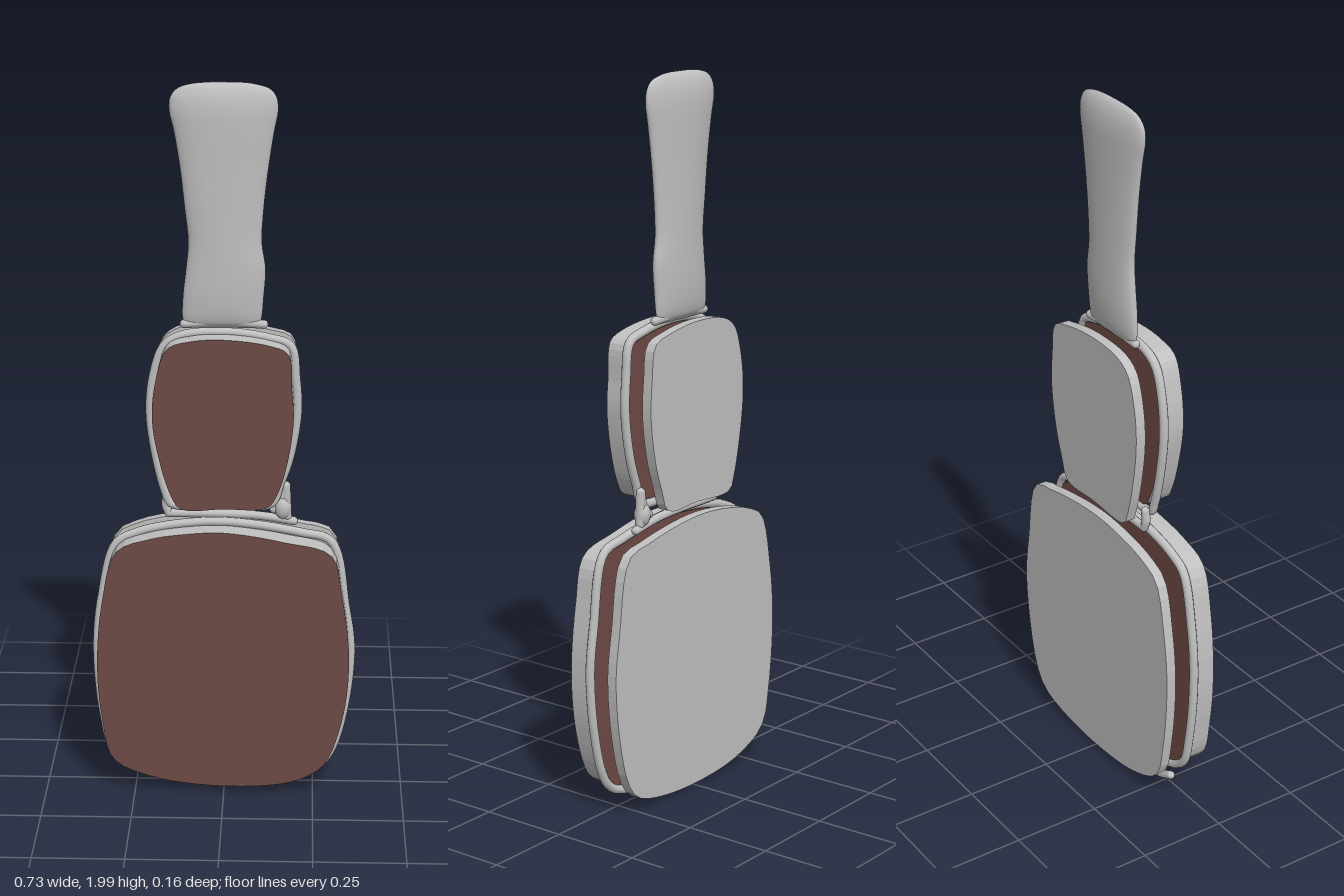
import * as THREE from 'three';

// Closed outlines, clockwise from the top, as [x, y]
const largeRim = [[0, .804], [.22, .774], [.304, .748], [.347, .55], [.364, .418], [.347, .233], [.31, .1], [.272, .053],
  [.193, .026], [0, .01], [-.204, .032], [-.32, .09], [-.352, .206], [-.368, .418], [-.352, .577], [-.31, .735], [-.257, .767], [-.16, .792]];
const largePad = [[0, .783], [.167, .757], [.294, .72], [.325, .603], [.347, .418], [.336, .26], [.299, .127], [.272, .085],
  [.193, .042], [0, .026], [-.204, .053], [-.31, .106], [-.341, .233], [-.352, .39], [-.336, .577], [-.294, .725], [-.204, .762], [-.124, .776]];
const smallRim = [[0, 1.344], [.124, 1.328], [.188, 1.305], [.204, 1.212], [.209, 1.106], [.188, .974], [.161, .894], [.135, .834],
  [0, .83], [-.155, .832], [-.172, .868], [-.198, .974], [-.214, 1.106], [-.204, 1.212], [-.172, 1.302], [-.124, 1.333]];
const smallPad = [[0, 1.328], [.124, 1.312], [.172, 1.29], [.183, 1.185], [.188, 1.106], [.172, .984], [.145, .894], [.119, .857],
  [0, .852], [-.119, .852], [-.146, .894], [-.177, 1], [-.193, 1.106], [-.183, 1.212], [-.151, 1.302], [-.087, 1.323]];

const curveOf = (pts, z, closed) =>
  new THREE.CatmullRomCurve3(pts.map(([x, y]) => new THREE.Vector3(x, y, z)), closed, 'centripetal');

// Moves an outline towards its centre by a distance
function inset(pts, d) {
  const xs = pts.map(p => p[0]), ys = pts.map(p => p[1]);
  const cx = (Math.max(...xs) + Math.min(...xs)) / 2, cy = (Math.max(...ys) + Math.min(...ys)) / 2;
  const kx = 1 - 2 * d / (Math.max(...xs) - Math.min(...xs)), ky = 1 - 2 * d / (Math.max(...ys) - Math.min(...ys));
  return pts.map(([x, y]) => [cx + (x - cx) * kx, cy + (y - cy) * ky]);
}

// Flat slab between two z values
function slab(pts, z0, z1, segments) {
  const outline = curveOf(pts, 0, true).getSpacedPoints(segments).slice(0, -1);
  const shape = new THREE.Shape(outline.map(p => new THREE.Vector2(p.x, p.y)));
  return new THREE.ExtrudeGeometry(shape, { depth: z1 - z0, bevelEnabled: false }).translate(0, 0, z0);
}

// Handle: elliptical cross-sections along y, rows of [y, left, right, half depth]
function handleGeometry() {
  const rows = [[1.336, -.1, .085, .004], [1.355, -.113, .097, .018], [1.42, -.113, .104, .028], [1.5, -.104, .109, .03],
    [1.57, -.098, .099, .03], [1.66, -.107, .103, .03], [1.77, -.119, .115, .03], [1.87, -.135, .13, .031],
    [1.925, -.147, .14, .03], [1.96, -.144, .136, .025], [1.983, -.125, .118, .017], [1.995, -.09, .08, .009], [2, -.04, .04, .002]];
  const pick = i => new THREE.CatmullRomCurve3(rows.map(r => new THREE.Vector3(r[0], r[i], r[3])), false, 'centripetal');
  const left = pick(1), right = pick(2), n = 48, m = 40;
  const pos = [], index = [];
  for (let i = 0; i <= n; i++) {
    const a = left.getPoint(i / n), b = right.getPoint(i / n);
    const cx = (a.y + b.y) / 2, w = (b.y - a.y) / 2;
    for (let j = 0; j < m; j++) {
      const t = j / m * Math.PI * 2;
      pos.push(cx + w * Math.cos(t), a.x, -.02 + a.z * Math.sin(t));
      if (i < n) {
        const p = i * m + j, q = i * m + (j + 1) % m;
        index.push(p, p + m, q, q, p + m, q + m);
      }
    }
  }
  // End caps
  for (const [row, y, x] of [[0, 1.335, -.008], [n, 2, 0]]) {
    const c = pos.length / 3;
    pos.push(x, y, -.02);
    for (let j = 0; j < m; j++) {
      const p = row * m + j, q = row * m + (j + 1) % m;
      index.push(...(row ? [c, q, p] : [c, p, q]));
    }
  }
  const g = new THREE.BufferGeometry();
  g.setAttribute('position', new THREE.Float32BufferAttribute(pos, 3));
  g.setIndex(index);
  g.computeVertexNormals();
  return g;
}

export function createModel() {
  const model = new THREE.Group();
  const grey = new THREE.MeshStandardMaterial({ color: 0xc0c0c0 });
  grey.name = 'metalGrey';
  const brown = new THREE.MeshStandardMaterial({ color: 0x6e4a45 });
  brown.name = 'padBrown';

  const add = (name, geometry, material, parent = model) => {
    const mesh = new THREE.Mesh(geometry, material);
    mesh.name = name;
    parent.add(mesh);
    return mesh;
  };

  // Two panels: rim wire, padded front with brown face, back plate
  for (const [name, rim, pad] of [['large', largeRim, largePad], ['small', smallRim, smallPad]]) {
    const panel = new THREE.Group();
    panel.name = name + 'Panel';
    model.add(panel);
    add(name + 'Rim', new THREE.TubeGeometry(curveOf(inset(rim, .012), .01, true), 140, .0125, 12, true), grey, panel);
    add(name + 'Pad', slab(pad, .008, .08, 90), [brown, grey], panel);
    add(name + 'BackPlate', slab(inset(rim, name === 'large' ? .008 : .006), -.083, -.054, 70), grey, panel);
  }

  add('handle', handleGeometry(), grey);

  // Rounded wire pieces joining the panels
  const wire = (name, pts, r = .012) => {
    const group = new THREE.Group();
    group.name = name;
    model.add(group);
    add(name + 'Rod', new THREE.TubeGeometry(curveOf(pts, -.019, false), 24, r, 10), grey, group);
    for (const [x, y] of [pts[0], pts[pts.length - 1]])
      add(name + 'End', new THREE.SphereGeometry(r, 12, 8).translate(x, y, -.019), grey, group);
  };
  wire('bottomClip', [[-.293, .056], [-.25, .036], [-.178, .024]]);
  wire('neckWire', [[-.155, .806], [0, .805], [.1, .8], [.19, .786]]);
  wire('leftStrut', [[-.155, .806], [-.163, .83], [-.16, .86]]);
  wire('rightStrut', [[.168, .888], [.16, .855], [.135, .82]]);
  wire('rightBrace', [[.168, .888], [.17, .85], [.172, .8]], .013);
  wire('topWire', [[-.11, 1.346], [0, 1.352], [.105, 1.346]]);

  // Thick joint in the right strut
  add('strutJoint', new THREE.SphereGeometry(.024, 16, 12).scale(1, 1.4, .9).translate(.16, .825, -.018), grey);

  return model;
}
